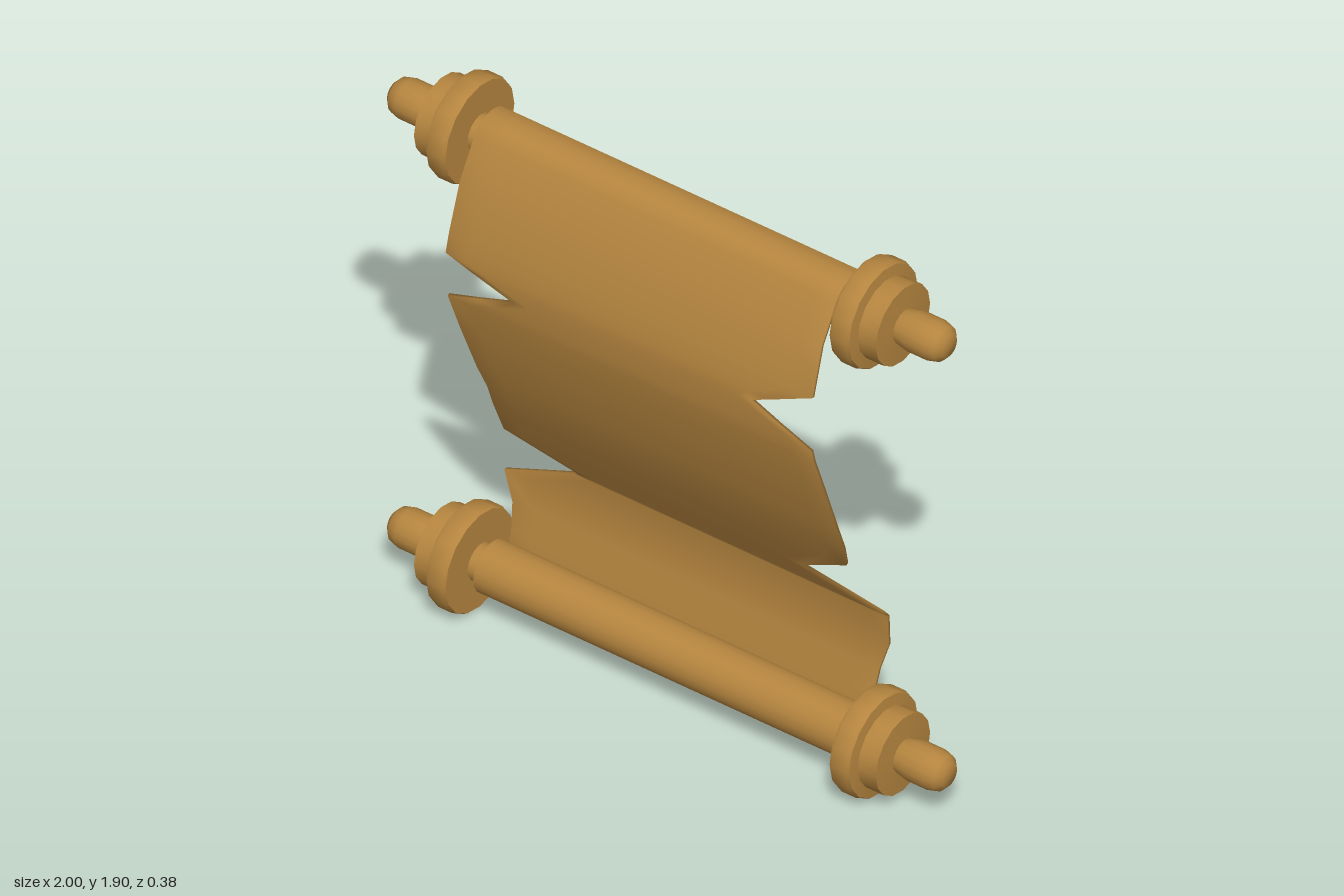
import * as THREE from 'three';
import { toCreasedNormals } from 'three/addons/utils/BufferGeometryUtils.js';

const TOP_Y = 1.73, BOTTOM_Y = 0.172, ROD_Z = -0.02, ROLL_R = 0.085, SHEET_R = 0.09, HALF_T = 0.005;

const material = new THREE.MeshStandardMaterial({ color: 0xb5853f, side: THREE.DoubleSide });

function part(name, geometry) {
  const mesh = new THREE.Mesh(geometry, material);
  mesh.name = name;
  return mesh;
}

// Turned rod along x: axle, large disc, small disc and rounded handle at both ends
function makeRod(name, y) {
  const end = [
    [0.06, 0.69], [0.165, 0.69], [0.17, 0.70], [0.17, 0.75], [0.165, 0.76],
    [0.13, 0.765], [0.13, 0.83], [0.055, 0.835], [0.064, 0.88], [0.064, 0.95],
    [0.056, 0.98], [0.035, 0.998], [0, 1],
  ];
  const points = [
    ...end.slice().reverse().map(([r, x]) => new THREE.Vector2(r, -x)),
    ...end.map(([r, x]) => new THREE.Vector2(r, x)),
  ];
  const group = new THREE.Group();
  group.name = name;
  group.add(part('turnedRod', toCreasedNormals(new THREE.LatheGeometry(points, 16), 0.7)));
  group.add(part('paperRoll', new THREE.CylinderGeometry(ROLL_R, ROLL_R, 1.3, 20)));
  group.rotation.z = -Math.PI / 2;
  group.position.set(0, y, ROD_Z);
  return group;
}

// Torn sheet: leaves the top roll in front, sweeps back, and goes under the bottom roll
function makeSheet() {
  // rows of y, z, left-hand edge x, right-hand edge x
  const rows = [
    [1.66, 0.125, -0.65, 0.65], [1.5, 0.17, -0.655, 0.65], [1.43, 0.18, -0.66, 0.495],
    [1.405, 0.181, -0.575, 0.44], [1.36, 0.18, -0.42, 0.54], [1.31, 0.175, -0.55, 0.65],
    [1.27, 0.17, -0.66, 0.655], [1.15, 0.14, -0.64, 0.67], [0.98, 0.085, -0.62, 0.675],
    [0.88, 0.04, -0.615, 0.665], [0.79, 0, -0.625, 0.645], [0.635, -0.085, -0.65, 0.42],
    [0.54, -0.14, -0.42, 0.67], [0.53, -0.144, -0.445, 0.685], [0.42, -0.155, -0.7, 0.68],
    [0.33, -0.14, -0.66, 0.657], [0.25, -0.122, -0.65, 0.65],
  ];
  // wrap around a roll, angle measured from straight up towards the front
  const wrap = (y, from, to, n) => Array.from({ length: n + 1 }, (_, i) => {
    const a = THREE.MathUtils.degToRad(from + ((to - from) * i) / n);
    return [y + SHEET_R * Math.cos(a), ROD_Z + SHEET_R * Math.sin(a), -0.65, 0.65];
  });
  const path = [...wrap(TOP_Y, -30, 60, 6), ...rows, ...wrap(BOTTOM_Y, -80, -190, 6)];

  const columns = [0, 0.06, 0.25, 0.5, 0.75, 0.94, 1];
  const loop = [...columns.map((u) => [u, HALF_T]), ...columns.slice().reverse().map((u) => [u, -HALF_T])];
  const positions = [], index = [], n = loop.length;
  path.forEach(([y, z, left, right], i) => {
    const before = path[Math.max(i - 1, 0)], after = path[Math.min(i + 1, path.length - 1)];
    const dy = after[0] - before[0], dz = after[1] - before[1], len = Math.hypot(dy, dz);
    for (const [u, t] of loop) {
      positions.push(left + (right - left) * u, y + (t * dz) / len, z - (t * dy) / len);
    }
    if (i === path.length - 1) return;
    for (let j = 0; j < n; j++) {
      const a = i * n + j, d = i * n + ((j + 1) % n);
      index.push(a, a + n, d + n, a, d + n, d);
    }
  });
  const geometry = new THREE.BufferGeometry();
  geometry.setAttribute('position', new THREE.Float32BufferAttribute(positions, 3));
  geometry.setIndex(index);
  geometry.computeVertexNormals();
  return part('tornSheet', geometry);
}

export function createModel() {
  const model = new THREE.Group();
  model.name = 'scroll';
  model.add(makeRod('topRod', TOP_Y), makeRod('bottomRod', BOTTOM_Y), makeSheet());
  return model;
}
